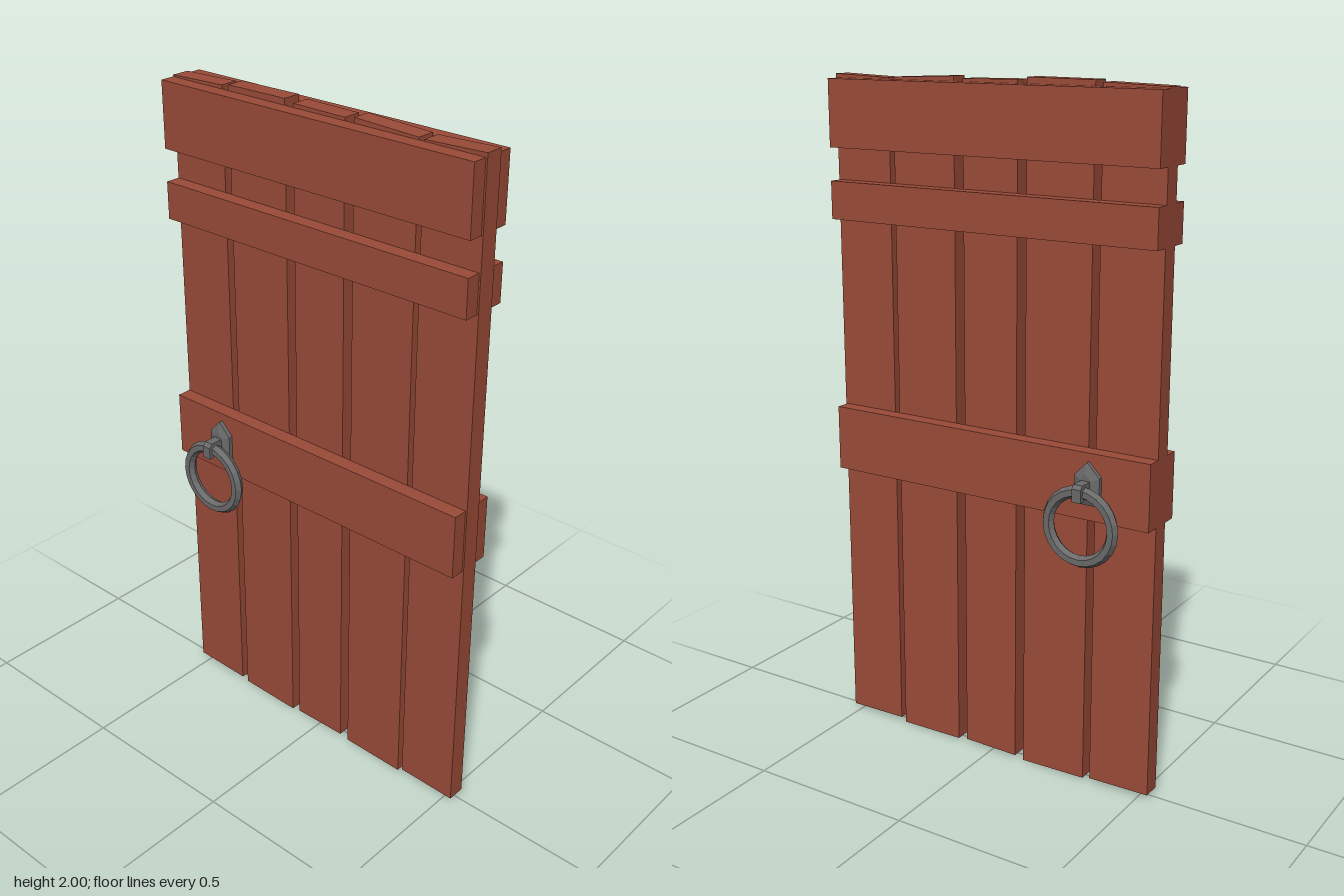
import * as THREE from 'three';

const wood = new THREE.MeshStandardMaterial({ color: 0x9a4b38, flatShading: true });
const iron = new THREE.MeshStandardMaterial({ color: 0x6a6a6a, flatShading: true });

function add(parent, name, geometry, material, x = 0, y = 0, z = 0) {
  const mesh = new THREE.Mesh(geometry, material);
  mesh.name = name;
  mesh.position.set(x, y, z);
  parent.add(mesh);
  return mesh;
}

function extrude(points, depth, options = {}) {
  const shape = new THREE.Shape(points.map(([x, y]) => new THREE.Vector2(x, y)));
  return new THREE.ExtrudeGeometry(shape, { depth, bevelEnabled: false, ...options });
}

// Pointed plate, hooked staple and hanging ring, facing +z around x = 0
function createHandle() {
  const handle = new THREE.Group();
  const plate = [[-0.039, 0.875], [0.039, 0.875], [0.039, 0.957], [0, 0.997], [-0.039, 0.957]];
  add(handle, 'handlePlate', extrude(plate, 0.023, {
    bevelEnabled: true, bevelThickness: 0.009, bevelSize: 0.022, bevelOffset: -0.022, bevelSegments: 1,
  }), iron, 0, 0, 0.06);

  // Side profile of the staple: (z, y), extruded across x
  const hook = [[0.075, 0.922], [0.116, 0.922], [0.124, 0.914], [0.124, 0.898],
    [0.141, 0.898], [0.141, 0.935], [0.131, 0.946], [0.075, 0.946]];
  const staple = extrude(hook, 0.028);
  staple.translate(0, 0, -0.014);
  staple.rotateY(-Math.PI / 2);
  add(handle, 'handleStaple', staple, iron);

  add(handle, 'handleRing', new THREE.TorusGeometry(0.1, 0.0175, 6, 24), iron, 0, 0.822, 0.116);
  return handle;
}

export function createModel() {
  const door = new THREE.Group();
  door.name = 'plankDoor';

  // Upright planks with slightly uneven ends: left, right, bottom L/R, top L/R
  const planks = [
    [-0.53, -0.341, 0.014, 0.01, 1.987, 1.993],
    [-0.318, -0.113, 0.004, 0, 1.998, 2],
    [-0.084, 0.091, 0.007, 0.01, 1.993, 1.991],
    [0.121, 0.325, 0.004, 0.001, 1.997, 1.989],
    [0.341, 0.527, 0.013, 0.01, 1.987, 1.994],
  ];
  planks.forEach(([l, r, bl, br, tl, tr], i) => {
    add(door, `plank${i + 1}`, extrude([[l, bl], [r, br], [r, tr], [l, tl]], 0.054), wood, 0, 0, -0.027);
  });

  // Cross rails and a ring handle on each face
  const rails = [['topRail', 1.79, 1.982], ['upperRail', 1.585, 1.695], ['middleRail', 0.827, 1.02]];
  for (const [side, s] of [['front', 1], ['back', -1]]) {
    for (const [name, y0, y1] of rails) {
      add(door, `${side}_${name}`, new THREE.BoxGeometry(1.052, y1 - y0, 0.045), wood,
        -0.004, (y0 + y1) / 2, s * 0.0485);
    }
    const handle = createHandle();
    handle.name = `${side}_handle`;
    handle.position.x = -0.345;
    if (s < 0) handle.rotation.y = Math.PI;
    door.add(handle);
  }
  return door;
}
